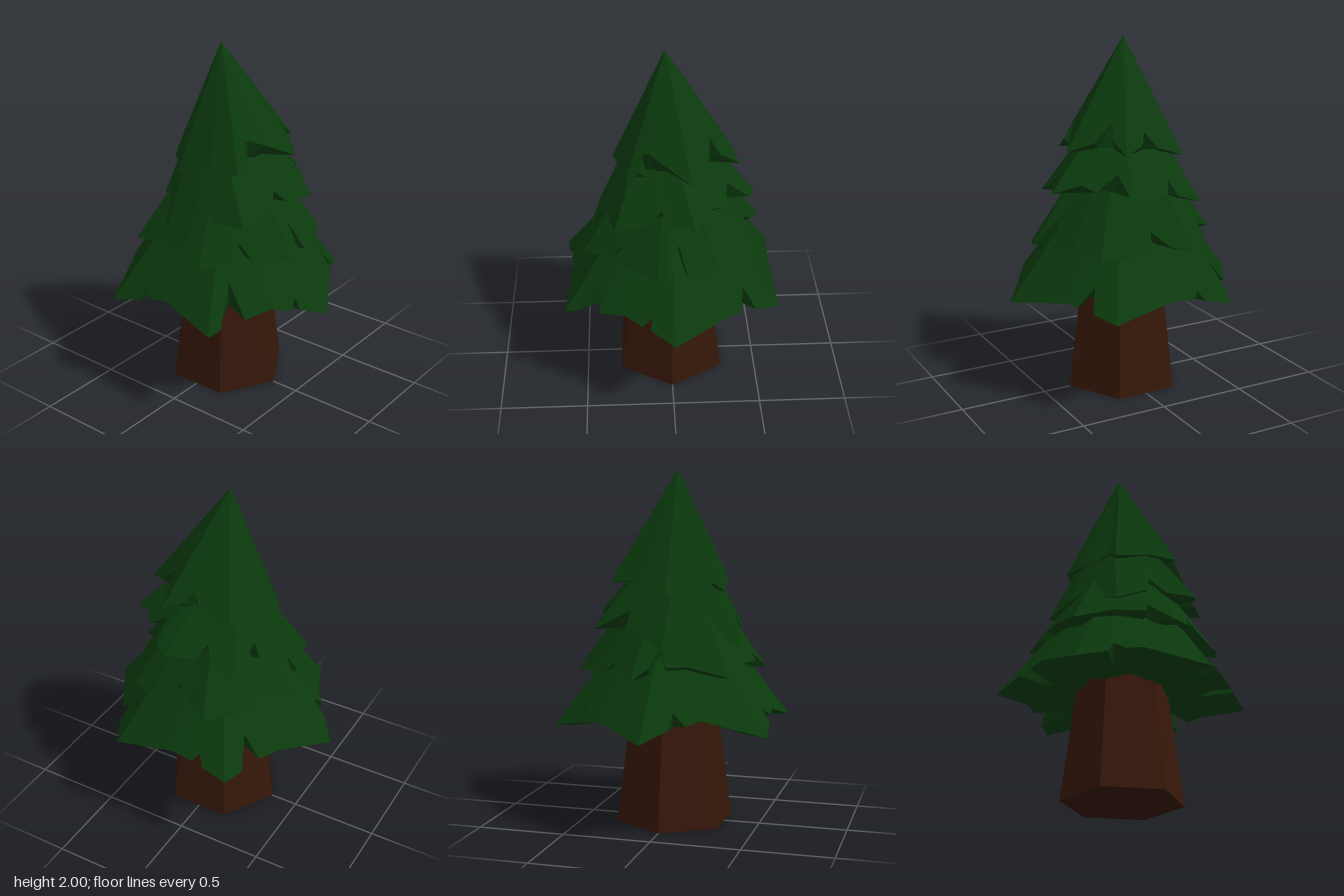
import * as THREE from 'three';

const green = new THREE.MeshStandardMaterial({ color: 0x0b3a0d, flatShading: true, side: THREE.DoubleSide });
const brown = new THREE.MeshStandardMaterial({ color: 0x361709, flatShading: true });

// Size of the slightly rounded hexagon (tips at angle `turn`) that passes through x, z
function hexRadius(x, z, turn) {
  let d = 0;
  for (let i = 0; i < 6; i++) {
    const a = THREE.MathUtils.degToRad(turn + 30 + i * 60);
    d = Math.max(d, x * Math.cos(a) + z * Math.sin(a));
  }
  return 0.7 * d / Math.cos(Math.PI / 6) + 0.3 * Math.hypot(x, z);
}

// 0 in the direction of a tip, 1 halfway between two tips
function awayFromTip(x, z, turn) {
  const a = THREE.MathUtils.radToDeg(Math.atan2(z, x)) - turn + 390;
  return Math.abs((a % 60) - 30) / 30;
}

// One layer of branches: a hexagonal pyramid cut along a ragged rim, with a lip and an arched underside
function branchLayer(name, { rim, radius, height, turn, base, arch, inset, tilt = 0, centre = 0 }) {
  const outer = rim.map(([x, z]) => {
    const px = x - centre, pz = z - centre;
    const y = Math.max(0, height * (1 - hexRadius(px, pz, turn) / radius));
    return new THREE.Vector3(px, y, pz);
  });
  const inner = outer.map((p) => new THREE.Vector3(p.x * inset, arch * awayFromTip(p.x, p.z, turn), p.z * inset));
  const apex = new THREE.Vector3(0, height, 0);
  const middle = new THREE.Vector3(0, arch, 0);
  const corners = [];
  outer.forEach((a, i) => {
    const j = (i + 1) % outer.length;
    corners.push(apex, outer[j], a); // top slope
    corners.push(a, outer[j], inner[j], a, inner[j], inner[i]); // lip
    corners.push(inner[i], inner[j], middle); // underside
  });
  const geometry = new THREE.BufferGeometry().setFromPoints(corners);
  geometry.computeVertexNormals();
  const mesh = new THREE.Mesh(geometry, green);
  mesh.name = name;
  mesh.position.set(centre, base, centre);
  mesh.rotation.set(-tilt, 0, tilt);
  return mesh;
}

// Rim outlines as x, z points, starting at the back
const bottomRim = [
  [0, -0.7], [0.28, -0.51], [0.39, -0.45], [0.38, -0.35], [0.5, -0.4], [0.6, -0.35], [0.59, -0.2],
  [0.555, -0.17], [0.585, -0.13], [0.58, 0], [0.6, 0.35], [0.465, 0.42], [0.39, 0.37], [0.375, 0.465],
  [0.31, 0.5], [0, 0.695], [-0.13, 0.6], [-0.12, 0.56], [-0.175, 0.575], [-0.27, 0.505], [-0.41, 0.44],
  [-0.385, 0.31], [-0.54, 0.375], [-0.605, 0.345], [-0.565, 0.01], [-0.575, -0.08], [-0.545, -0.145],
  [-0.59, -0.18], [-0.605, -0.35], [-0.275, -0.485], [-0.21, -0.54], [-0.135, -0.525], [-0.13, -0.59],
];
const lowerRim = [
  [0.1, -0.52], [0.25, -0.36], [0.3, -0.37], [0.4, -0.28], [0.52, -0.17], [0.47, -0.05], [0.41, 0.04],
  [0.47, 0.08], [0.46, 0.2], [0.41, 0.34], [0.25, 0.43], [0.16, 0.45], [0.08, 0.48], [0.03, 0.39], [-0.03, 0.54],
  [-0.09, 0.52], [-0.27, 0.38], [-0.28, 0.3], [-0.34, 0.31], [-0.495, 0.19], [-0.43, 0.06],
  [-0.46, 0.05], [-0.43, -0.12], [-0.4, -0.34], [-0.18, -0.4], [-0.07, -0.44], [-0.03, -0.38], [0.02, -0.47],
];
const upperRim = [
  [-0.045, -0.435], [0.195, -0.32], [0.195, -0.27], [0.39, -0.28], [0.4, -0.13], [0.36, -0.08],
  [0.42, -0.05], [0.47, 0.1], [0.43, 0.19], [0.32, 0.21], [0.3, 0.32], [0.22, 0.37], [0.115, 0.495],
  [-0.02, 0.43], [-0.05, 0.38], [-0.12, 0.4], [-0.32, 0.35], [-0.35, 0.18], [-0.31, 0.1], [-0.37, 0.07],
  [-0.41, -0.115], [-0.27, -0.24], [-0.23, -0.2], [-0.15, -0.33],
];
const topRim = [
  [-0.04, -0.335], [0.115, -0.29], [0.17, -0.25], [0.31, -0.215], [0.33, -0.04], [0.3, 0.03],
  [0.34, 0.06], [0.37, 0.17], [0.27, 0.2], [0.22, 0.18], [0.2, 0.28], [0.1, 0.39], [-0.04, 0.3],
  [-0.11, 0.25], [-0.16, 0.23], [-0.17, 0.28], [-0.255, 0.265], [-0.28, 0.1], [-0.32, -0.1],
  [-0.25, -0.12], [-0.23, -0.17], [-0.15, -0.26],
];

export function createModel() {
  const tree = new THREE.Group();
  tree.name = 'pineTree';

  // Tapered six-sided trunk
  const trunk = new THREE.Mesh(new THREE.CylinderGeometry(0.245, 0.34, 0.74, 6), brown);
  trunk.name = 'trunk';
  trunk.position.y = 0.37;
  tree.add(trunk);

  // Branch layers from bottom to top
  tree.add(
    branchLayer('bottomBranches', { rim: bottomRim, radius: 0.697, height: 0.9, turn: 30, base: 0.575, arch: 0.09, inset: 0.75 }),
    branchLayer('lowerBranches', { rim: lowerRim, radius: 0.535, height: 0.78, turn: 40, base: 0.875, arch: 0.05, inset: 0.82 }),
    branchLayer('upperBranches', { rim: upperRim, radius: 0.465, height: 0.68, turn: 15, base: 1.11, arch: 0.04, inset: 0.82, tilt: 0.15, centre: 0.025 }),
    branchLayer('topBranches', { rim: topRim, radius: 0.365, height: 0.635, turn: 17, base: 1.37, arch: 0.04, inset: 0.82, tilt: 0.09, centre: 0.03 }),
  );
  return tree;
}
